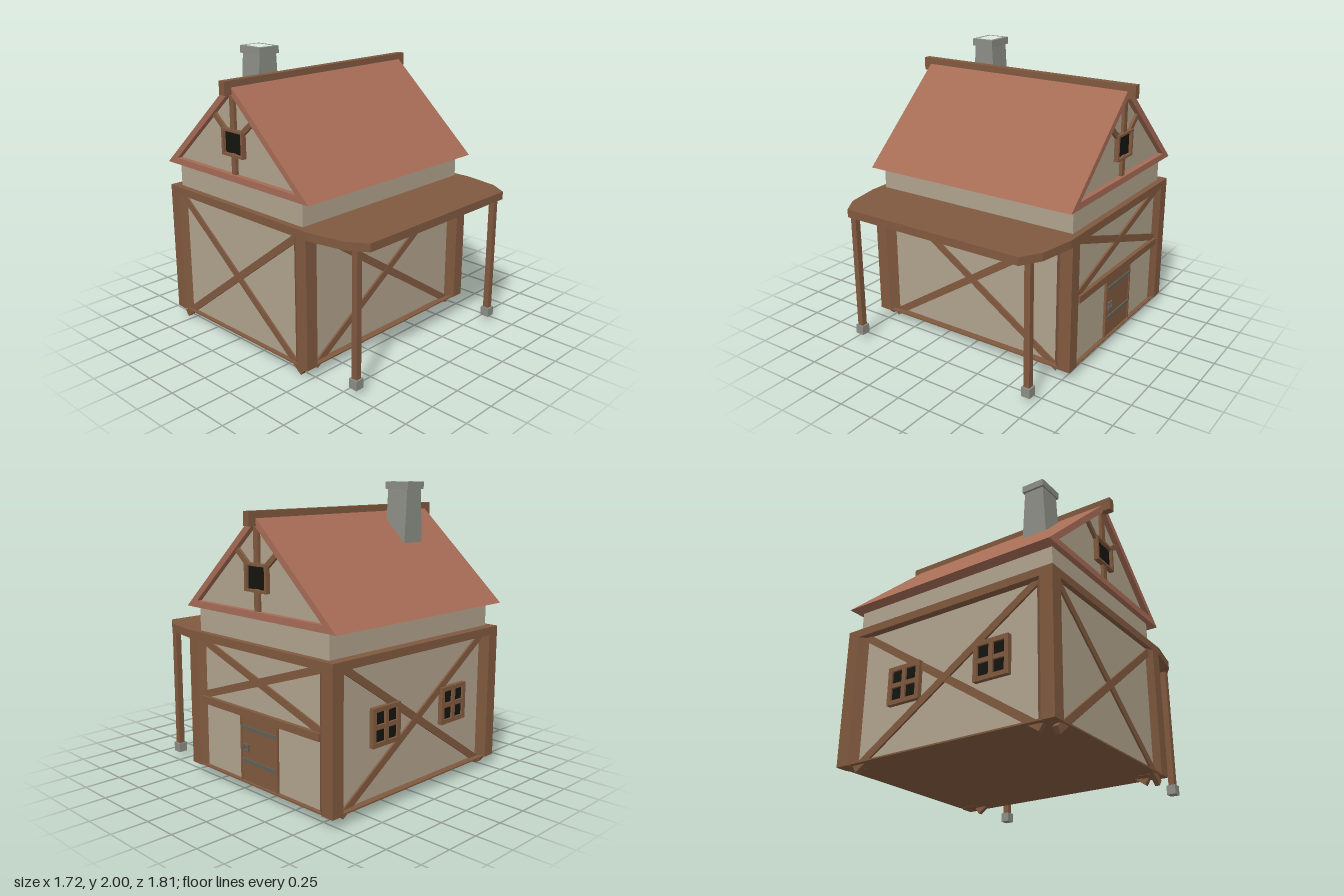
import * as THREE from 'three';

const mat = (color) => new THREE.MeshStandardMaterial({ color, flatShading: true });
const wood = mat(0x80593f), plaster = mat(0xb0a28c), tile = mat(0xa56b55);
const stone = mat(0x8b8d85), iron = mat(0x5f6058), dark = mat(0x14140f);

function add(parent, name, geometry, material) {
  const m = new THREE.Mesh(geometry, material);
  m.name = name;
  parent.add(m);
  return m;
}

// Box given by its extents on each axis
function box(parent, name, [x0, x1], [y0, y1], [z0, z1], material) {
  const g = new THREE.BoxGeometry(x1 - x0, y1 - y0, z1 - z0);
  g.translate((x0 + x1) / 2, (y0 + y1) / 2, (z0 + z1) / 2);
  return add(parent, name, g, material);
}

const shapeOf = (pts) => new THREE.Shape(pts.map(([x, y]) => new THREE.Vector2(x, y)));
const extrude = (shape, depth) => new THREE.ExtrudeGeometry(shape, { depth, bevelEnabled: false });

// Upright prism from a plan outline of [x, z] points
function prismY(parent, name, pts, y0, y1, material, hole) {
  const flip = (list) => list.map(([x, z]) => [x, -z]);
  const s = shapeOf(flip(pts));
  if (hole) s.holes.push(shapeOf(flip(hole)));
  return add(parent, name, extrude(s, y1 - y0).rotateX(-Math.PI / 2).translate(0, y0, 0), material);
}

// Prism along x, centred, from [z, y] points (symmetric in z)
function prismX(parent, name, pts, half, material, hole) {
  const s = shapeOf(pts);
  if (hole) s.holes.push(shapeOf(hole));
  return add(parent, name, extrude(s, 2 * half).rotateY(Math.PI / 2).translate(-half, 0, 0), material);
}

// Flat timber on a wall face, from point a to point b
function timber(parent, name, a, b, width, z0, z1) {
  const dx = b[0] - a[0], dy = b[1] - a[1];
  const g = new THREE.BoxGeometry(Math.hypot(dx, dy), width, z1 - z0);
  g.rotateZ(Math.atan2(dy, dx));
  g.translate((a[0] + b[0]) / 2, (a[1] + b[1]) / 2, (z0 + z1) / 2);
  return add(parent, name, g, wood);
}

function cross(face, u, low, high, d, width = 0.05) {
  for (const s of [-1, 1]) timber(face, 'crossBrace', [-s * u, low], [s * u, high], width, d - 0.02, d + 0.013 + s * 0.001);
}

const rect = (x, z, cx = 0, cz = 0) => [[cx - x, cz - z], [cx + x, cz - z], [cx + x, cz + z], [cx - x, cz + z]];

export function createModel() {
  const model = new THREE.Group();
  model.name = 'timberHouse';
  const house = new THREE.Group();
  house.name = 'house';
  house.position.set(-0.008, 0, -0.19);
  model.add(house);

  const X = 0.812, Z = 0.69;      // outer half size at the corner posts
  const wx = 0.778, wz = 0.637;   // half size of the lower walls

  // Walls and floor
  box(house, 'floor', [-X + 0.005, X - 0.005], [0.07, 0.08], [-Z + 0.005, Z - 0.005], wood);
  box(house, 'lowerWalls', [-wx, wx], [0.075, 0.98], [-wz, wz], plaster);
  box(house, 'upperWalls', [-0.768, 0.768], [0.98, 1.2], [-0.618, 0.618], plaster);

  // Corner posts with chamfered inner edges
  for (const sx of [-1, 1]) for (const sz of [-1, 1]) {
    const plan = [[X, Z], [X - 0.09, Z], [X - 0.14, wz], [X - 0.14, Z - 0.14], [wx, Z - 0.14], [X, Z - 0.09]];
    prismY(house, 'cornerPost', plan.map(([x, z]) => [x * sx, z * sz]), 0.068, 0.96, wood);
  }

  // Beam plate that continues forward as the porch canopy
  prismY(house, 'canopy', [[-X, -Z], [X, -Z], [X, 0.71], [0.765, 0.96], [0.68, 1.095],
    [-0.68, 1.095], [-0.765, 0.96], [-X, 0.71]], 0.955, 1.01, wood);
  for (const s of [-1, 1]) {
    const x = s * 0.7, z = 1.008;
    box(house, 'porchPole', [x - 0.021, x + 0.021], [0.1, 0.96], [z - 0.021, z + 0.021], wood);
    box(house, 'poleFoot', [x - 0.032, x + 0.032], [0.04, 0.105], [z - 0.032, z + 0.032], stone);
  }

  // Wall faces: local x runs along the wall, local z points outward
  const face = (name, angle) => {
    const g = new THREE.Group();
    g.name = name;
    g.rotation.y = angle;
    house.add(g);
    return g;
  };
  const front = face('frontFace', 0), back = face('backFace', Math.PI);
  const right = face('doorFace', Math.PI / 2), left = face('plainFace', -Math.PI / 2);

  cross(front, 0.695, 0.045, 0.965, wz);
  cross(back, 0.695, 0.045, 0.965, wz);
  cross(left, 0.62, 0.02, 0.97, wx);
  cross(right, 0.57, 0.575, 0.955, wx);

  // Back windows with four panes
  for (const u of [-0.313, 0.362]) {
    const w = new THREE.Group();
    w.name = 'window';
    w.position.set(u, 0.535, wz);
    back.add(w);
    box(w, 'panes', [-0.12, 0.12], [-0.115, 0.115], [0, 0.017], dark);
    for (const p of [-1, 0, 1]) {
      const a = p * 0.113, t = 0.015;
      box(w, 'windowUpright', [a - t, a + t], [-0.126, 0.126], [0, 0.032], wood);
      box(w, 'windowRail', [-0.126, 0.126], [a - t, a + t], [0, 0.031], wood);
    }
  }

  // Door with straps and a ring handle
  box(right, 'lintel', [-0.57, 0.57], [0.52, 0.57], [wx - 0.01, wx + 0.03], wood);
  box(right, 'door', [-0.165, 0.17], [0.075, 0.52], [wx, wx + 0.012], wood);
  for (const u of [-0.17, 0.177]) box(right, 'doorJamb', [u - 0.007, u + 0.007], [0.072, 0.52], [wx, wx + 0.018], wood);
  for (const y of [0.22, 0.445]) box(right, 'doorStrap', [-0.162, 0.168], [y - 0.012, y + 0.012], [wx, wx + 0.02], iron);
  const handle = shapeOf(rect(0.027, 0.025));
  handle.holes.push(shapeOf(rect(0.018, 0.016)));
  add(right, 'doorHandle', extrude(handle, 0.02), iron).position.set(-0.118, 0.31, wx + 0.005);

  // Roof: open-ended triangular shell around a set-back gable
  prismX(house, 'roof', [[-0.71, 1.175], [0.71, 1.175], [0, 1.82]], 0.806, tile,
    [[-0.6, 1.22], [0.6, 1.22], [0, 1.762]]);
  prismX(house, 'gable', [[-0.61, 1.21], [0.61, 1.21], [0, 1.77]], 0.768, plaster);
  box(house, 'ridgeBeam', [-0.862, 0.862], [1.75, 1.84], [-0.026, 0.026], wood);

  // Gable timbers and attic window on both ends
  for (const f of [right, left]) {
    const d = 0.768;
    timber(f, 'gablePost', [0, 1.21], [0, 1.36], 0.042, d - 0.01, d + 0.022);
    timber(f, 'gablePost', [0, 1.5], [0, 1.76], 0.042, d - 0.01, d + 0.022);
    for (const s of [-1, 1]) {
      timber(f, 'gableStrut', [s * 0.08, 1.5], [s * 0.2, 1.6], 0.035, d - 0.01, d + 0.02);
      box(f, 'atticFrameSide', [s * 0.096 - 0.009, s * 0.096 + 0.009], [1.34, 1.52], [d, d + 0.032], wood);
    }
    box(f, 'atticSill', [-0.105, 0.105], [1.34, 1.356], [d, d + 0.033], wood);
    box(f, 'atticHead', [-0.105, 0.105], [1.503, 1.52], [d, d + 0.033], wood);
    box(f, 'atticOpening', [-0.09, 0.09], [1.35, 1.51], [d, d + 0.01], dark);
  }

  // Chimney: shaft flares toward the roof, hollow cap
  const cx = -0.402, cz = -0.17;
  const shaft = new THREE.BoxGeometry(0.145, 0.45, 0.17);
  const p = shaft.attributes.position;
  for (let i = 0; i < p.count; i++) if (p.getY(i) < 0) p.setX(i, p.getX(i) * 1.35);
  shaft.translate(cx, 1.73, cz);
  add(house, 'chimneyShaft', shaft, stone);
  prismY(house, 'chimneyCap', rect(0.083, 0.101, cx, cz), 1.95, 2, stone, rect(0.058, 0.076, cx, cz));

  return model;
}
